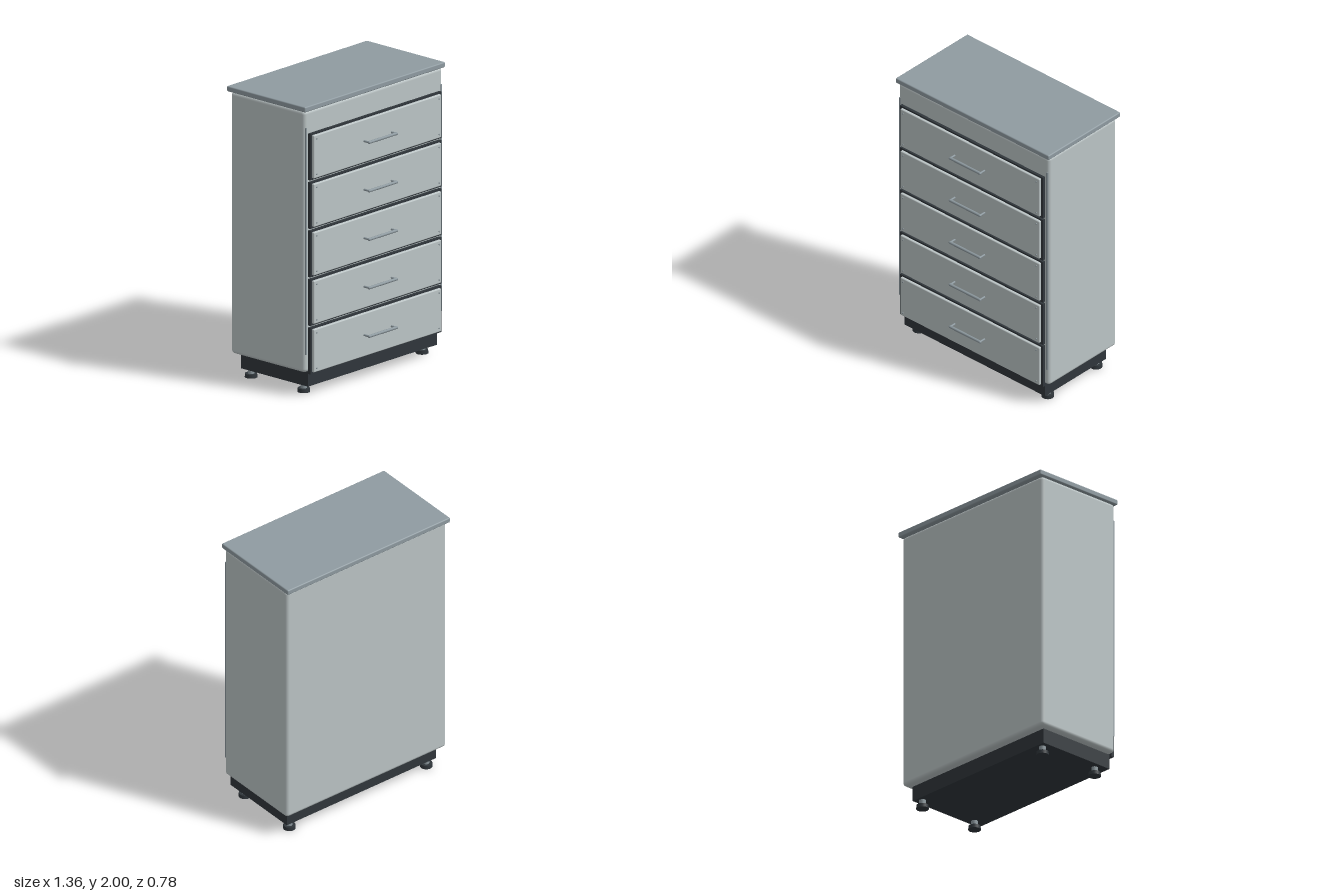
import * as THREE from 'three';
import { RoundedBoxGeometry } from 'three/addons/geometries/RoundedBoxGeometry.js';

const paint = (name, color) => {
  const m = new THREE.MeshStandardMaterial({ color });
  m.name = name;
  return m;
};

export function createModel() {
  const shell = paint('light grey enamel', 0xbcc5c6);
  const slate = paint('blue grey worktop', 0x8f9ba1);
  const dark = paint('charcoal', 0x30363b);
  const steel = paint('steel', 0x8c989e);

  const cabinet = new THREE.Group();
  cabinet.name = 'drawerCabinet';

  const add = (parent, name, geometry, material, x, y, z) => {
    const mesh = new THREE.Mesh(geometry, material);
    mesh.name = name;
    mesh.position.set(x, y, z);
    parent.add(mesh);
    return mesh;
  };
  const rounded = (w, h, d, r) => new RoundedBoxGeometry(w, h, d, 3, r);

  // Carcass, worktop and plinth
  add(cabinet, 'body', rounded(1.34, 1.8, 0.66, 0.025), shell, 0, 1.065, -0.035);
  add(cabinet, 'worktop', rounded(1.36, 0.037, 0.7, 0.008), slate, 0, 1.9815, -0.04);
  add(cabinet, 'plinth', new THREE.BoxGeometry(1.25, 0.115, 0.595), dark, 0, 0.1195, -0.0125);

  // Thin trim strips beside the drawers
  for (const side of [-1, 1]) {
    add(cabinet, 'sideTrim', new THREE.BoxGeometry(0.012, 1.56, 0.012), steel, side * 0.654, 1.07, 0.292);
  }

  // Levelling feet
  const stem = new THREE.CylinderGeometry(0.022, 0.022, 0.045, 20);
  const pad = new THREE.CylinderGeometry(0.04, 0.042, 0.026, 24);
  for (const x of [-0.573, 0.573]) {
    for (const z of [-0.27, 0.2]) {
      const foot = new THREE.Group();
      foot.name = 'foot';
      foot.position.set(x, 0, z);
      add(foot, 'footStem', stem, steel, 0, 0.045, 0);
      add(foot, 'footPad', pad, dark, 0, 0.013, 0);
      cabinet.add(foot);
    }
  }

  // Drawers: dark gasket, front panel, corner screws and bar handle
  const gasket = new THREE.BoxGeometry(1.27, 0.32, 0.022);
  const panel = rounded(1.236, 0.296, 0.03, 0.007);
  const screw = new THREE.CylinderGeometry(0.005, 0.005, 0.008, 12).rotateX(Math.PI / 2);
  const bar = new THREE.CapsuleGeometry(0.01, 0.264, 4, 14).rotateZ(Math.PI / 2);
  const post = new THREE.CylinderGeometry(0.007, 0.007, 0.046, 12).rotateX(Math.PI / 2);
  for (let i = 0; i < 5; i++) {
    const drawer = new THREE.Group();
    drawer.name = 'drawer';
    drawer.position.y = 0.314 + i * 0.3335;
    add(drawer, 'gasket', gasket, dark, 0, 0, 0.304);
    add(drawer, 'drawerFront', panel, shell, 0, 0, 0.318);
    add(drawer, 'handleBar', bar, steel, 0, 0, 0.378);
    for (const sx of [-1, 1]) {
      add(drawer, 'handlePost', post, steel, sx * 0.132, 0, 0.355);
      for (const sy of [-0.122, 0.122]) {
        add(drawer, 'screw', screw, steel, sx * 0.593, sy, 0.334);
      }
    }
    cabinet.add(drawer);
  }

  return cabinet;
}
